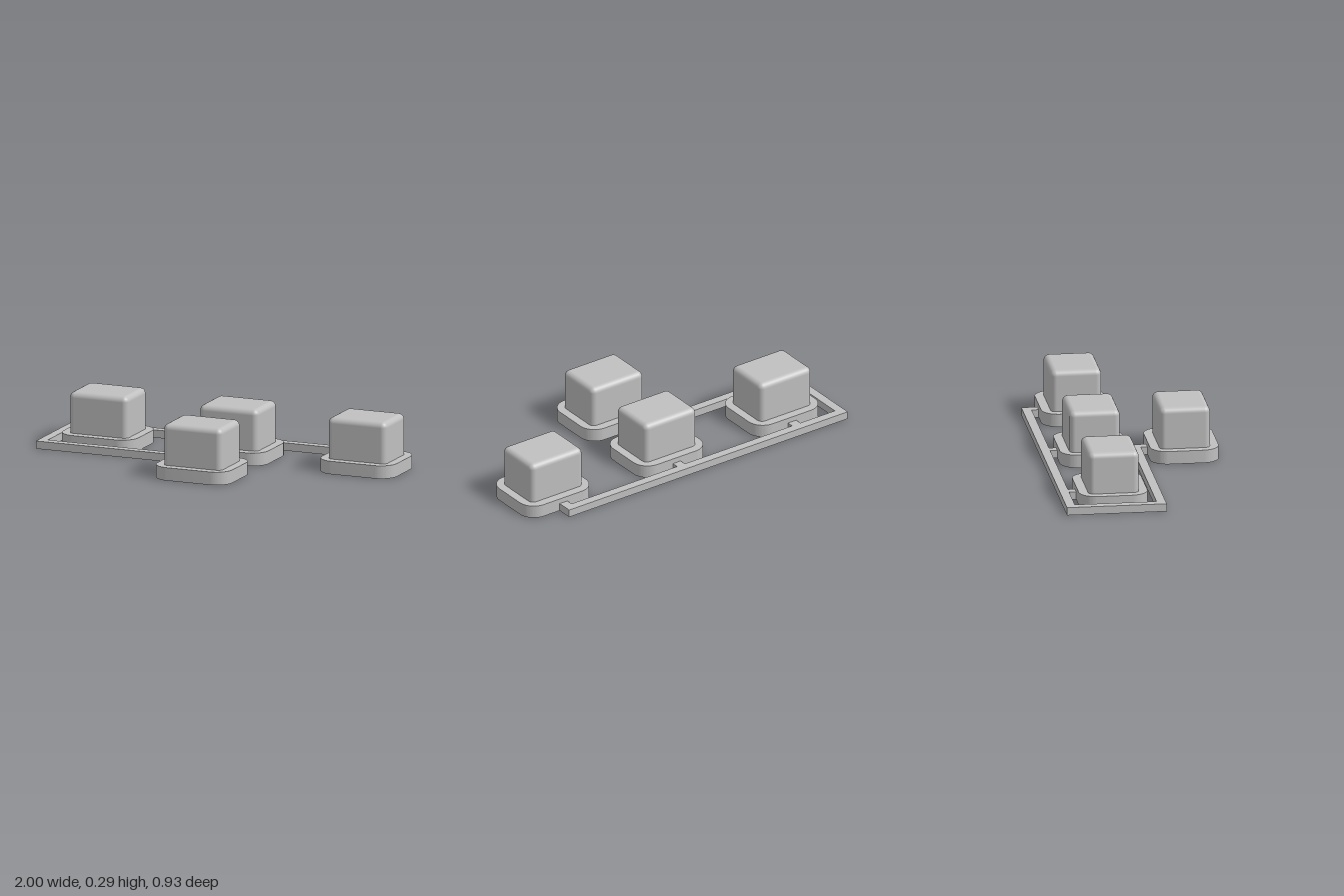
import * as THREE from 'three';
import { toCreasedNormals } from 'three/addons/utils/BufferGeometryUtils.js';
import { RoundedBoxGeometry } from 'three/addons/geometries/RoundedBoxGeometry.js';

const BASE = { w: 0.43, d: 0.365, h: 0.07, r: 0.092 };
const CAP = { w: 0.336, d: 0.268, top: 0.292, r: 0.03 };
const HOLE_R = 0.112;
const FRAME_H = 0.042;

// Rounded-rectangle flange with a round socket through it
function flangeGeometry() {
  const { w, d, h, r } = BASE, x = w / 2, y = d / 2;
  const shape = new THREE.Shape();
  shape.absarc(x - r, y - r, r, 0, Math.PI / 2);
  shape.absarc(-x + r, y - r, r, Math.PI / 2, Math.PI);
  shape.absarc(-x + r, -y + r, r, Math.PI, Math.PI * 1.5);
  shape.absarc(x - r, -y + r, r, Math.PI * 1.5, Math.PI * 2);
  shape.closePath();
  shape.holes.push(new THREE.Path().absarc(0, 0, HOLE_R, 0, Math.PI * 2, true));
  const geo = new THREE.ExtrudeGeometry(shape, { depth: h, bevelEnabled: false, curveSegments: 16 });
  geo.rotateX(-Math.PI / 2);
  return toCreasedNormals(geo, 0.6);
}

// Rounded block whose underside is flattened onto the flange
function capGeometry() {
  const bottom = BASE.h - CAP.r, height = CAP.top - bottom;
  const geo = new RoundedBoxGeometry(CAP.w, height, CAP.d, 5, CAP.r);
  geo.translate(0, bottom + height / 2, 0);
  const p = geo.attributes.position;
  for (let i = 0; i < p.count; i++) p.setY(i, Math.max(p.getY(i), BASE.h));
  return geo;
}

export function createModel() {
  const model = new THREE.Group();
  model.name = 'buttonSet';
  const grey = new THREE.MeshStandardMaterial({ color: 0xc0c0c0 });
  grey.name = 'light grey';

  // Four identical buttons: three in the back row, one in front
  const flange = flangeGeometry(), cap = capGeometry();
  const spots = [[-0.7, -0.197], [0.047, -0.197], [0.784, -0.197], [0.047, 0.282]];
  spots.forEach(([x, z], i) => {
    const button = new THREE.Group();
    button.name = `button${i + 1}`;
    for (const [name, geo] of [['flange', flange], ['cap', cap]]) {
      const mesh = new THREE.Mesh(geo, grey);
      mesh.name = name;
      button.add(mesh);
    }
    button.position.set(x, 0, z);
    model.add(button);
  });

  // Flat carrier frame with its short tabs, drawn as one outline (x, z)
  const outline = [
    [-1, -0.465], [0.805, -0.465], [0.805, -0.375], [0.755, -0.375], [0.755, -0.417],
    [0.071, -0.417], [0.071, -0.375], [0.021, -0.375], [0.021, -0.417],
    [-0.675, -0.417], [-0.675, -0.375], [-0.728, -0.375], [-0.728, -0.417],
    [-0.951, -0.417], [-0.951, 0.017], [0.071, 0.017], [0.071, 0.102],
    [0.021, 0.102], [0.021, 0.065], [-1, 0.065],
  ];
  const shape = new THREE.Shape(outline.map(([x, z]) => new THREE.Vector2(x, -z)));
  const geo = new THREE.ExtrudeGeometry(shape, { depth: FRAME_H, bevelEnabled: false });
  geo.rotateX(-Math.PI / 2);
  const frame = new THREE.Mesh(geo, grey);
  frame.name = 'carrierFrame';
  model.add(frame);

  return model;
}
